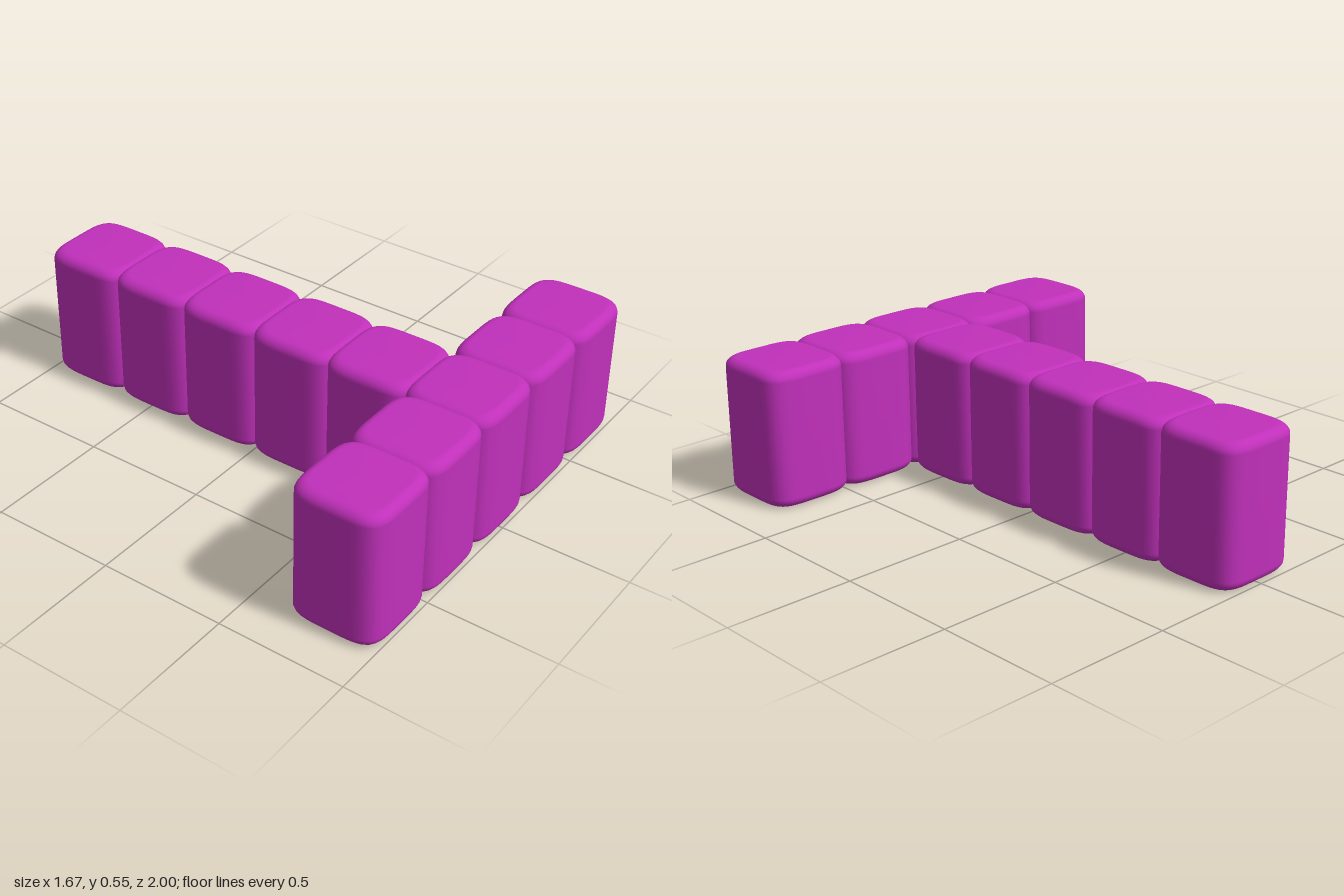
import * as THREE from 'three';
import { mergeVertices } from 'three/addons/utils/BufferGeometryUtils.js';

const HALF = 0.18, HEIGHT = 0.545, EDGE = 0.04, STEP = 0.3275;

// Soft-edged upright block: a lathe whose round plan is pushed out to a rounded square
function blockGeometry() {
  const profile = [new THREE.Vector2(0, 0)];
  const arc = (cy, start) => {
    for (let i = 0; i <= 8; i++) {
      const a = start + (i / 8) * Math.PI / 2;
      profile.push(new THREE.Vector2(HALF - EDGE + EDGE * Math.cos(a), cy + EDGE * Math.sin(a)));
    }
  };
  arc(EDGE, -Math.PI / 2);
  arc(HEIGHT - EDGE, 0);
  profile.push(new THREE.Vector2(0, HEIGHT));

  const lathe = new THREE.LatheGeometry(profile, 64);
  const pos = lathe.attributes.position;
  const n = 4.6;
  for (let i = 0; i < pos.count; i++) {
    const x = pos.getX(i), z = pos.getZ(i), r = Math.hypot(x, z);
    if (r < 1e-6) continue;
    const f = Math.pow(Math.abs(x / r) ** n + Math.abs(z / r) ** n, -1 / n);
    pos.setX(i, x * f);
    pos.setZ(i, z * f);
  }
  lathe.deleteAttribute('uv');
  lathe.deleteAttribute('normal');
  const geometry = mergeVertices(lathe, 1e-5);
  geometry.computeVertexNormals();
  return geometry;
}

export function createModel() {
  const model = new THREE.Group();
  model.name = 'blockT';
  const geometry = blockGeometry();
  const material = new THREE.MeshStandardMaterial({ color: 0xc030ba });
  const frontZ = 1 - HALF;

  const addBlock = (parent, name, x, z) => {
    const block = new THREE.Mesh(geometry, material);
    block.name = name;
    block.position.set(x, 0, z);
    parent.add(block);
  };

  // Crossbar along the front
  const crossbar = new THREE.Group();
  crossbar.name = 'crossbar';
  for (let i = -2; i <= 2; i++) addBlock(crossbar, `crossbarBlock${i + 3}`, i * STEP, frontZ);

  // Stem running back from the middle of the crossbar
  const stem = new THREE.Group();
  stem.name = 'stem';
  for (let i = 1; i <= 5; i++) addBlock(stem, `stemBlock${i}`, 0, frontZ - i * STEP);

  model.add(crossbar, stem);
  return model;
}
